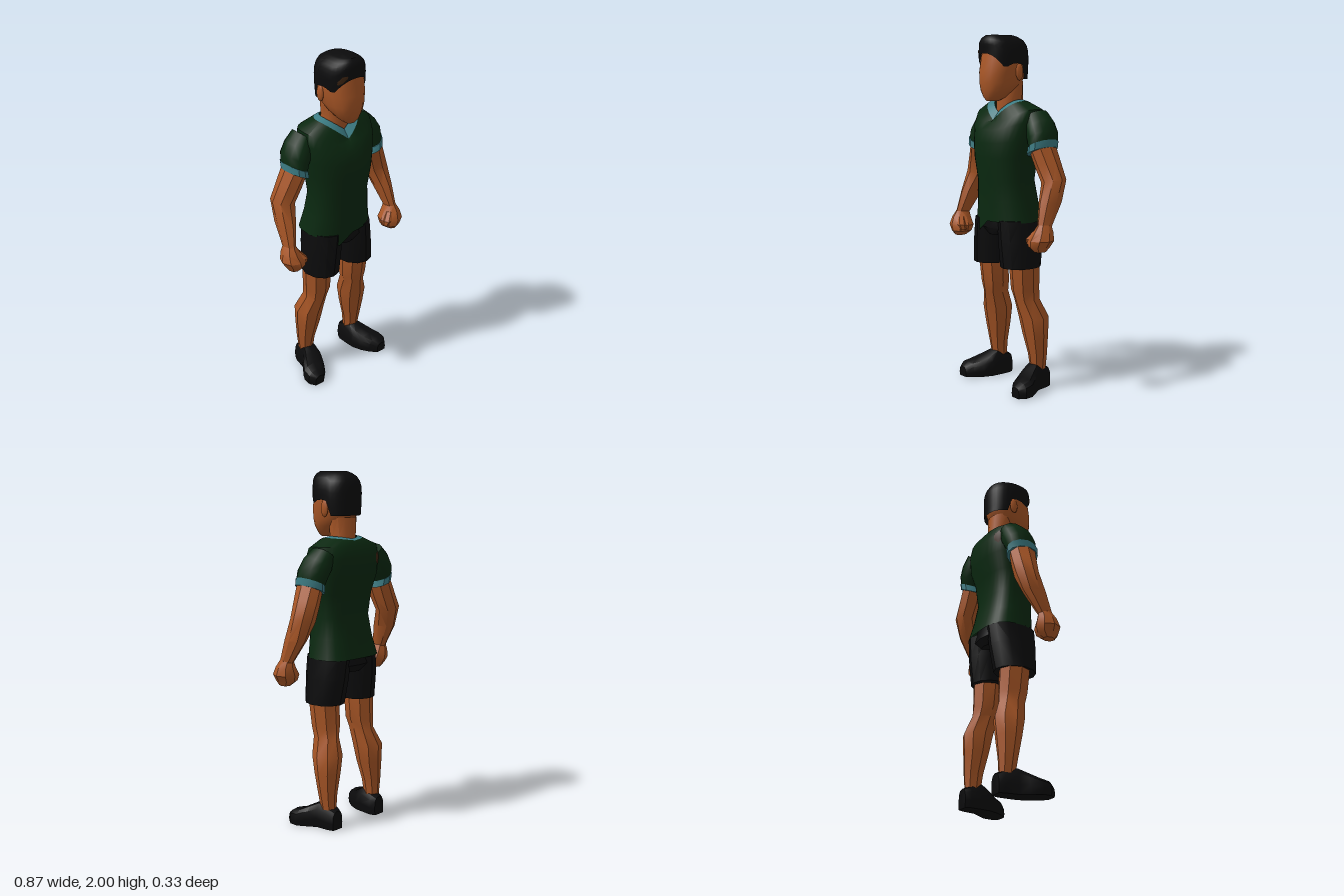
import * as THREE from 'three';
import { toCreasedNormals } from 'three/addons/utils/BufferGeometryUtils.js';

const colour = (name, hex) => {
  const m = new THREE.MeshStandardMaterial({ color: hex });
  m.name = name;
  return m;
};

// Row of a table, linearly interpolated on its first column
function lookup(table, x) {
  if (x <= table[0][0]) return table[0];
  for (let i = 1; i < table.length; i++) {
    const a = table[i - 1], b = table[i];
    if (x <= b[0]) return a.map((v, k) => v + (b[k] - v) * (x - a[0]) / (b[0] - a[0]));
  }
  return table[table.length - 1];
}

// Surface grid: nu steps round (closed or open), nv rows; flip mirrors it in x
function grid(nu, nv, fn, { closed = true, flip = false, crease = 0.6 } = {}) {
  const pos = [], index = [], cols = closed ? nu : nu + 1;
  for (let j = 0; j <= nv; j++) for (let i = 0; i < cols; i++) {
    const [x, y, z] = fn(i / nu, j / nv);
    pos.push(flip ? -x : x, y, z);
  }
  for (let j = 0; j < nv; j++) for (let i = 0; i < nu; i++) {
    const a = j * cols + i, b = j * cols + (i + 1) % cols, c = a + cols, d = b + cols;
    if (flip) index.push(a, b, c, b, d, c);
    else index.push(a, c, b, b, c, d);
  }
  const g = new THREE.BufferGeometry();
  g.setAttribute('position', new THREE.Float32BufferAttribute(pos, 3));
  g.setIndex(index);
  return toCreasedNormals(g, crease);
}

// Capped limb through rings [x, y, z, rx, rz, tilt], listed bottom to top
function loft(rings, sides, flip = false, crease = 0.6) {
  const first = [...rings[0]], last = [...rings[rings.length - 1]];
  first[3] = first[4] = last[3] = last[4] = 0;
  const all = [first, ...rings, last];
  return grid(sides, all.length - 1, (u, v) => {
    const [x, y, z, rx, rz, t = 0] = all[Math.round(v * (all.length - 1))];
    const a = u * Math.PI * 2, c = Math.cos(a) * rx;
    return [x + c * Math.cos(t), y + c * Math.sin(t), z + Math.sin(a) * rz];
  }, { flip, crease });
}

const power = (v, e) => Math.sign(v) * Math.abs(v) ** e;

// Point on an oval with half width w, front zf and back zb
function oval(a, w, zf, zb, front = 0.85, back = 0.85) {
  const s = Math.sin(a), e = s > 0 ? front : back;
  return [w * power(Math.cos(a), e), (zf + zb) / 2 + (zf - zb) / 2 * power(s, e)];
}

// Neckline loop, dropping to a V at the front
function neckline(a, w, y, drop, zf, zb) {
  const [x, z] = oval(a, w, zf, zb, 1, 1);
  const s = Math.sin(a);
  return [x, y - (s > 0 ? drop : 0.015) * (1 - Math.abs(Math.cos(a))), z];
}
const collarOuter = (a) => neckline(a, 0.128, 1.64, 0.105, 0.1, -0.115);
const collarInner = (a) => neckline(a, 0.088, 1.648, 0.068, 0.062, -0.095);

// Shirt body rows: y, half width, front z, back z, drop at the front
const BODY = [
  [0.97, 0.207, 0.14, -0.165, 0], [1.08, 0.186, 0.141, -0.135, 0], [1.2, 0.174, 0.145, -0.112, 0],
  [1.33, 0.192, 0.163, -0.125, 0], [1.43, 0.212, 0.16, -0.153, 0.02],
  [1.53, 0.222, 0.148, -0.155, 0.05], [1.595, 0.215, 0.12, -0.14, 0.075],
];
function bodyPoint(u, v) {
  const a = u * Math.PI * 2, f = v * BODY.length, k = Math.min(Math.floor(f), BODY.length - 1);
  const row = (i) => {
    if (i >= BODY.length) return collarOuter(a);
    const [y, w, zf, zb, dip] = BODY[i];
    const [x, z] = oval(a, w, zf, zb, 0.9, 0.65);
    const s = Math.max(0, Math.sin(a));
    // Loose hem hanging lower on one side of the front
    const hang = i === 0 && s > 0.4 ? 0.07 * Math.max(0, 1 - Math.abs(x + 0.1) / 0.1) : 0;
    return [x, y - dip * s * s - hang, z];
  };
  const p = row(k), q = row(k + 1);
  return p.map((c, i) => c + (q[i] - c) * (f - k));
}

// Head and hair rows: y, half width, front z, back z
const HEAD = [
  [1.64, 0.03, 0.135, 0.07], [1.66, 0.055, 0.15, 0.03], [1.7, 0.086, 0.16, -0.02],
  [1.74, 0.102, 0.167, -0.075], [1.8, 0.113, 0.165, -0.1], [1.87, 0.118, 0.15, -0.102], [1.94, 0.1, 0.14, -0.09],
];
const HAIR = [
  [1.74, 0.114, 0.165, -0.11], [1.84, 0.122, 0.16, -0.113], [1.91, 0.124, 0.16, -0.112],
  [1.96, 0.11, 0.164, -0.1], [1.985, 0.085, 0.155, -0.075], [2, 0.055, 0.135, -0.03],
];
// Hairline height from back (-1) to forehead (1)
const HAIRLINE = [[-1, 1.76], [-0.35, 1.76], [-0.2, 1.84], [0.1, 1.85], [0.5, 1.82], [0.8, 1.87], [1, 1.9]];
function hairPoint(u, v) {
  const a = u * Math.PI * 2, base = lookup(HAIRLINE, Math.sin(a))[1];
  const t = Math.min(1, v / 0.88);
  const y = base + (2 - base) * (1 - (1 - t) ** 1.5);
  const [, w, zf, zb] = lookup(HAIR, y);
  const [x, z] = oval(a, w, zf, zb);
  return v > 0.99 ? [0, 2, 0.05] : [x, y, z];
}

// Thin patch lying just above a surface
function patch(fn, u0, u1, v0, v1, dz) {
  return grid(6, 4, (u, v) => {
    const r = 0.5 * Math.sqrt(Math.max(0, 1 - (2 * v - 1) ** 2));
    const p = fn(u0 + (u1 - u0) * (0.5 + (u - 0.5) * 2 * r), v0 + (v1 - v0) * v);
    return [p[0], p[1], p[2] + dz];
  }, { closed: false });
}

export function createModel() {
  const skin = colour('skin', 0xa85626);
  const green = colour('shirt green', 0x0a2810);
  const teal = colour('trim teal', 0x3d7e86);
  const black = colour('black cloth', 0x0b0b0c);
  const brown = colour('dark brown', 0x3a2210);
  green.side = teal.side = black.side = brown.side = THREE.DoubleSide;

  const model = new THREE.Group();
  model.name = 'footballer';
  const add = (name, geometry, material) => {
    const mesh = new THREE.Mesh(geometry, material);
    mesh.name = name;
    model.add(mesh);
    return mesh;
  };

  // Head and neck
  add('head', grid(16, HEAD.length + 1, (u, v) => {
    const k = Math.round(v * (HEAD.length + 1)) - 1;
    if (k < 0) return [0, 1.64, 0.1];
    if (k >= HEAD.length) return [0, 1.95, 0.03];
    const [x, z] = oval(u * Math.PI * 2, ...HEAD[k].slice(1));
    return [x, HEAD[k][0], z];
  }), skin);
  add('hair', grid(32, 9, hairPoint), black);
  add('templePatch', patch(hairPoint, 0.31, 0.39, 0.05, 0.22, 0.004), brown);
  add('neck', loft([[0, 1.55, -0.02, 0.085, 0.07], [0, 1.65, -0.02, 0.073, 0.075], [0, 1.75, -0.02, 0.085, 0.07]], 12), skin);

  // Shirt body and collar
  add('shirtBody', grid(32, BODY.length, bodyPoint, { crease: 0.9 }), green);
  add('collar', grid(32, 1, (u, v) => (v ? collarInner : collarOuter)(u * Math.PI * 2)), teal);
  add('backPatch', patch(bodyPoint, 0.6, 0.67, 0.64, 0.78, -0.004), brown);

  // Shorts seat
  add('shortsSeat', loft([
    [0, 0.89, -0.01, 0.09, 0.12], [0, 0.93, -0.012, 0.19, 0.14], [0, 1.0, -0.01, 0.19, 0.13]], 16), black);

  for (const [side, flip] of [['left', false], ['right', true]]) {
    // Ears
    const ear = add(side + 'Ear', new THREE.SphereGeometry(1, 8, 6), skin);
    ear.scale.set(0.014, 0.048, 0.026);
    ear.position.set(flip ? -0.116 : 0.116, 1.8, 0.005);

    // Sleeve and cuff
    add(side + 'Sleeve', loft([
      [0.268, 1.4, -0.038, 0.066, 0.092, 0.43], [0.256, 1.45, -0.045, 0.078, 0.095, 0.5],
      [0.226, 1.5, -0.05, 0.078, 0.092, 0.6], [0.19, 1.56, -0.055, 0.055, 0.075, 0.65]], 12, flip, 0.9), green);
    add(side + 'Cuff', loft([
      [0.265, 1.368, -0.034, 0.072, 0.096, 0.43], [0.268, 1.408, -0.038, 0.07, 0.097, 0.46]], 12, flip), teal);

    // Arm, fist and thumb
    add(side + 'Arm', loft([
      [0.373, 0.97, 0.042, 0.031, 0.045], [0.355, 1.1, -0.015, 0.051, 0.072], [0.338, 1.21, -0.055, 0.07, 0.068, 0.2],
      [0.3, 1.3, -0.045, 0.068, 0.076, 0.3], [0.265, 1.39, -0.035, 0.063, 0.083, 0.4]], 8, flip), skin);
    add(side + 'Fist', loft([
      [0.365, 0.838, 0.065, 0.03, 0.035], [0.355, 0.865, 0.063, 0.058, 0.062], [0.363, 0.9, 0.058, 0.073, 0.072],
      [0.373, 0.945, 0.05, 0.052, 0.058], [0.373, 0.985, 0.04, 0.03, 0.042]], 8, flip), skin);
    add(side + 'Thumb', loft([
      [0.305, 0.875, 0.085, 0.014, 0.02], [0.315, 0.905, 0.09, 0.024, 0.028], [0.35, 0.95, 0.07, 0.022, 0.025]], 6, flip), skin);

    // Shorts leg
    add(side + 'ShortsLeg', loft([
      [0.123, 0.712, 0, 0.104, 0.122], [0.112, 0.86, -0.008, 0.106, 0.138], [0.102, 0.98, -0.012, 0.1, 0.143]], 12, flip), black);

    // Leg with knee and calf
    add(side + 'Leg', loft([
      [0.178, 0.11, -0.085, 0.041, 0.047], [0.18, 0.2, -0.08, 0.053, 0.056], [0.171, 0.32, -0.07, 0.075, 0.073],
      [0.165, 0.42, -0.063, 0.084, 0.088], [0.143, 0.52, -0.032, 0.062, 0.08],
      [0.137, 0.58, -0.022, 0.075, 0.085], [0.14, 0.73, -0.012, 0.083, 0.09]], 8, flip), skin);

    // Shoe, toe to heel: z, centre x, half width, height
    const shoe = [
      [0.143, 0.248, 0, 0.03], [0.14, 0.248, 0.032, 0.06], [0.105, 0.242, 0.064, 0.085], [0.055, 0.225, 0.08, 0.097],
      [0, 0.197, 0.072, 0.127], [-0.045, 0.18, 0.057, 0.152], [-0.12, 0.173, 0.052, 0.125],
      [-0.152, 0.173, 0.038, 0.11], [-0.156, 0.173, 0, 0.05]];
    add(side + 'Shoe', grid(12, shoe.length - 1, (u, v) => {
      const [z, x, w, h] = shoe[Math.round(v * (shoe.length - 1))];
      const a = u * Math.PI * 2;
      if (!w) return [x, h, z];
      const s = Math.sin(a);
      return [x + w * power(Math.cos(a), 0.7), Math.max(0, h * (0.35 + (s > 0 ? 0.65 : 0.6) * power(s, 0.8))), z];
    }, { flip }), black);
  }
  return model;
}
